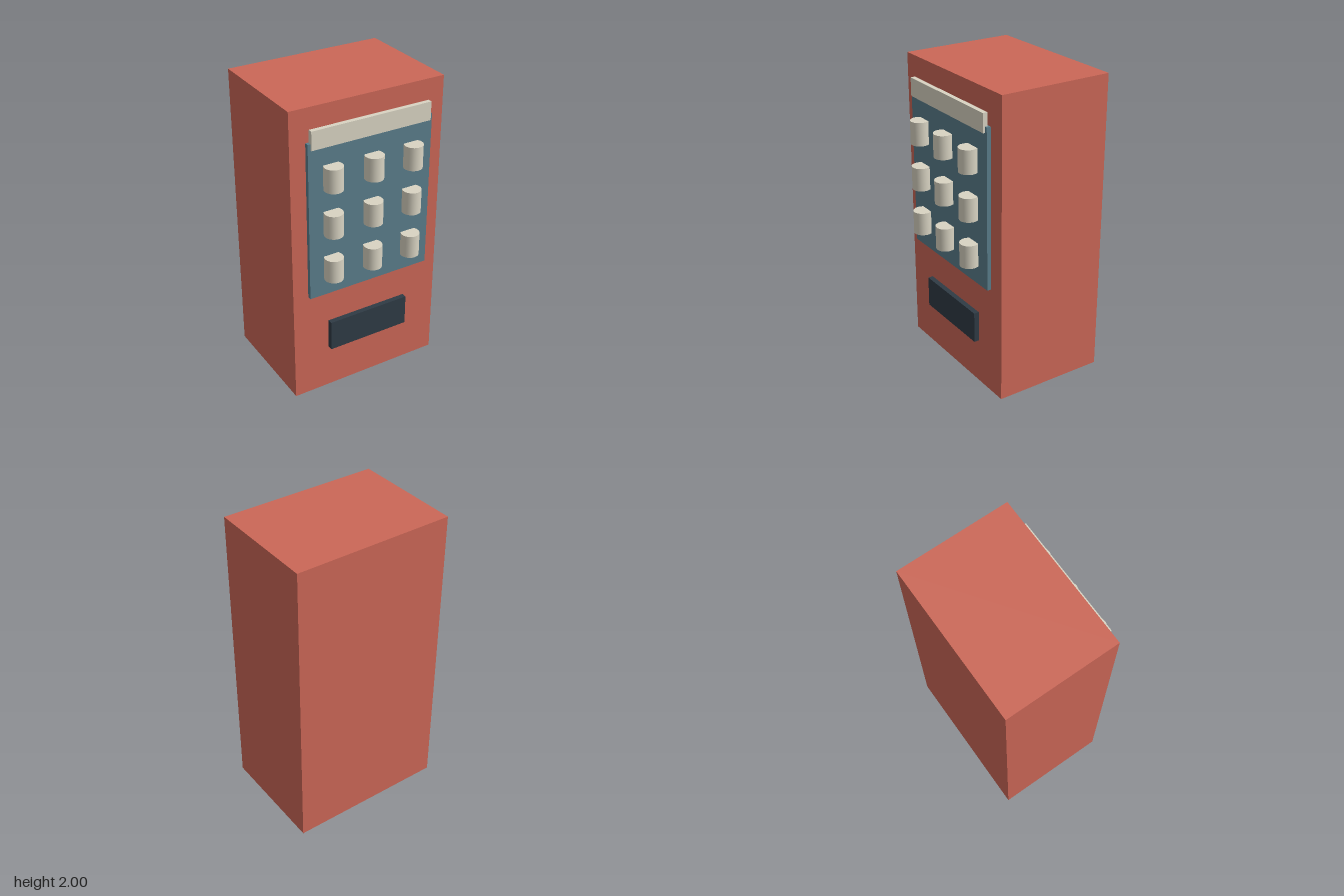
import * as THREE from 'three';

const material = (color) => new THREE.MeshStandardMaterial({ color });

export function createModel() {
  const model = new THREE.Group();
  model.name = 'vendingMachine';
  const red = material(0xcb6757);
  const blue = material(0x5a7d8b);
  const cream = material(0xd9d4c3);
  const dark = material(0x2f3b45);

  // Box centred on x, given its width and its y and z limits
  function panel(name, width, [y0, y1], [z0, z1], mat) {
    const mesh = new THREE.Mesh(new THREE.BoxGeometry(width, y1 - y0, z1 - z0), mat);
    mesh.position.set(0, (y0 + y1) / 2, (z0 + z1) / 2);
    mesh.name = name;
    model.add(mesh);
  }

  panel('cabinet', 1.053, [0, 2], [-0.44, 0.312], red);
  panel('displayWindow', 0.853, [0.747, 1.79], [0.32, 0.347], blue);
  panel('headerSign', 0.818, [1.753, 1.873], [0.33, 0.36], cream);
  panel('dispenserTray', 0.566, [0.31, 0.517], [0.318, 0.352], dark);

  // Three rows of cans, half sunk through the window
  const cans = new THREE.Group();
  cans.name = 'cans';
  const canGeometry = new THREE.CylinderGeometry(0.06, 0.06, 0.153, 24);
  for (const y of [0.947, 1.256, 1.56]) {
    for (const x of [-0.278, 0, 0.278]) {
      const can = new THREE.Mesh(canGeometry, cream);
      can.position.set(x, y, 0.38);
      can.name = 'can';
      cans.add(can);
    }
  }
  model.add(cans);

  return model;
}
